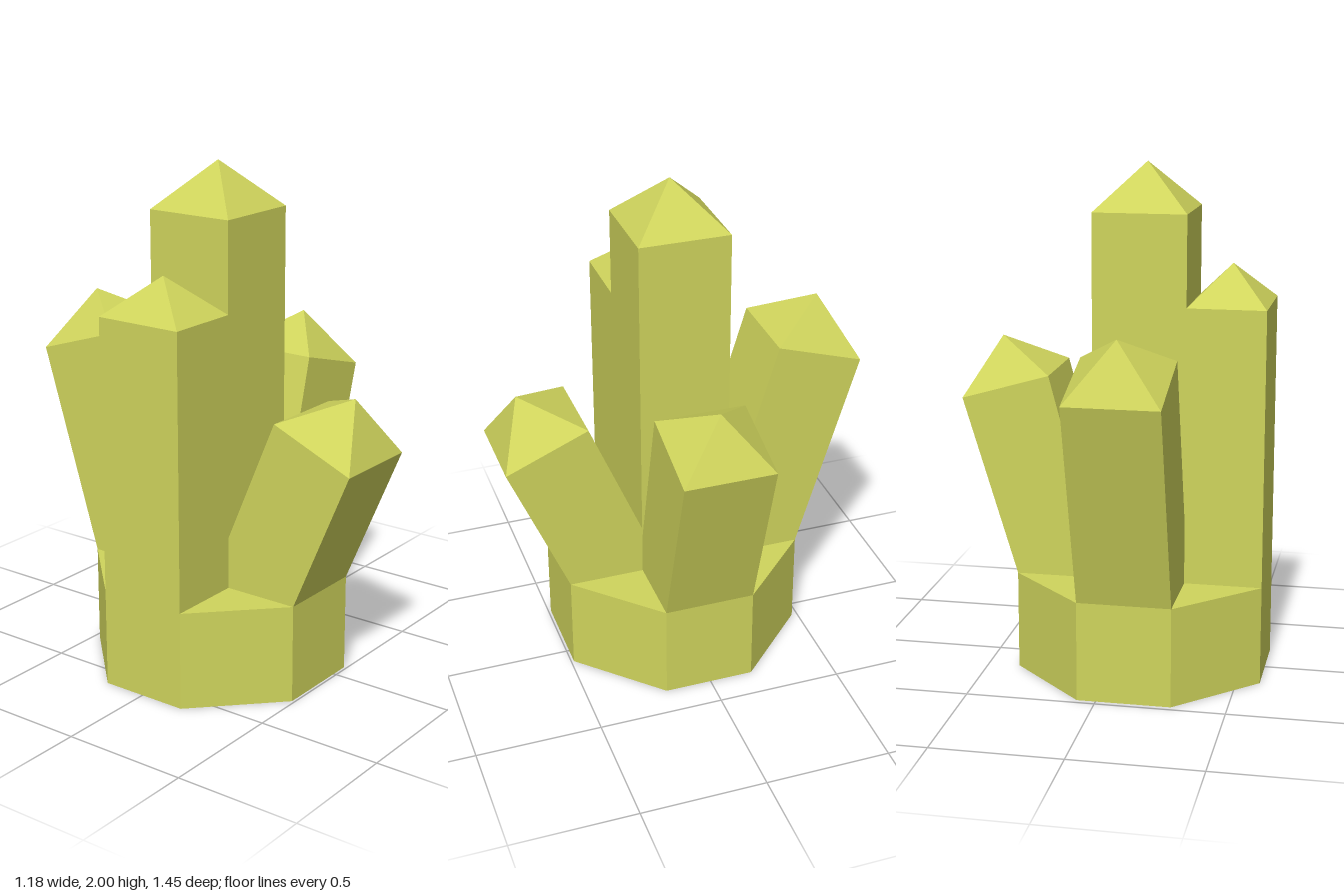
import * as THREE from 'three';

const HALF = 0.181;   // half width of every crystal shaft
const OUTER = 0.483;  // centre to flat side of the base
const BASE_H = 0.39;
const HOLE_R = 0.33;
const HOLE_D = 0.26;

const material = new THREE.MeshStandardMaterial({ color: 0xcfd45c, flatShading: true });

// Flat-shaded geometry from a list of corner triples
function facets(corners) {
  const geo = new THREE.BufferGeometry().setFromPoints(corners);
  geo.computeVertexNormals();
  return geo;
}

const quad = (a, b, c, d) => [a, b, c, a, c, d];

// Upright wall along a closed outline, facing outward for a counter-clockwise one
function wall(outline, y0, y1) {
  const at = (p, y) => new THREE.Vector3(p.x, y, -p.y);
  return facets(outline.flatMap((p, i) => {
    const q = outline[(i + 1) % outline.length];
    return quad(at(p, y0), at(q, y0), at(q, y1), at(p, y1));
  }));
}

// Square shaft with a pyramid tip, leaning along its local +x.
// Each argument is [distance from centre, height].
function crystalGeometry(inLow, outLow, inTop, outTop, tip) {
  const ring = (inner, outer) => [[outer, HALF], [outer, -HALF], [inner, -HALF], [inner, HALF]]
    .map(([[x, y], z]) => new THREE.Vector3(x, y, z));
  const low = ring(inLow, outLow);
  const top = ring(inTop, outTop);
  const apex = new THREE.Vector3(tip[0], tip[1], 0);
  return facets(low.flatMap((p, i) => {
    const j = (i + 1) % 4;
    return [...quad(p, low[j], top[j], top[i]), top[i], top[j], apex];
  }));
}

function part(name, geometry) {
  const mesh = new THREE.Mesh(geometry, material);
  mesh.name = name;
  return mesh;
}

// Eight-sided base with a round socket underneath
function createBase() {
  const base = new THREE.Group();
  base.name = 'base';
  const octagon = [
    [OUTER, -HALF], [OUTER, HALF], [HALF, OUTER], [-HALF, OUTER],
    [-OUTER, HALF], [-OUTER, -HALF], [-HALF, -OUTER], [HALF, -OUTER],
  ].map(([x, y]) => new THREE.Vector2(x, y));
  const circle = Array.from({ length: 16 }, (_, i) => {
    const a = (i / 16) * Math.PI * 2;
    return new THREE.Vector2(HOLE_R * Math.cos(a), HOLE_R * Math.sin(a));
  });

  const underside = new THREE.Shape(octagon);
  underside.holes.push(new THREE.Path(circle));

  base.add(
    part('baseSides', wall(octagon, 0, BASE_H)),
    part('baseTop', new THREE.ShapeGeometry(new THREE.Shape(octagon))
      .rotateX(-Math.PI / 2).translate(0, BASE_H, 0)),
    part('baseUnderside', new THREE.ShapeGeometry(underside).rotateX(Math.PI / 2)),
    part('socketWall', wall([...circle].reverse(), 0, HOLE_D)),
    part('socketCeiling', new THREE.ShapeGeometry(new THREE.Shape(circle))
      .rotateX(Math.PI / 2).translate(0, HOLE_D, 0)),
  );
  return base;
}

export function createModel() {
  const model = new THREE.Group();
  model.name = 'crystalCluster';
  const cluster = new THREE.Group();
  cluster.name = 'cluster';
  cluster.position.set(-0.108, 0, 0.006);
  model.add(cluster);
  cluster.add(createBase());

  // name, turn about y, inner and outer foot, inner and outer shoulder, tip
  const crystals = [
    ['centreCrystal', 0, [-HALF, BASE_H], [HALF, BASE_H], [-HALF, 1.82], [HALF, 1.82], [0, 2]],
    ['rightCrystal', Math.PI, [HALF, BASE_H], [OUTER, BASE_H], [HALF, 1.47], [OUTER, 1.47], [0.332, 1.62]],
    ['leftCrystal', 0, [0.14, BASE_H], [OUTER, BASE_H], [0.353, 1.19], [0.696, 1.09], [0.576, 1.31]],
    ['frontCrystal', -Math.PI / 2, [0.095, BASE_H], [OUTER, BASE_H], [0.389, 1.09], [0.719, 0.95], [0.624, 1.185]],
    ['backCrystal', Math.PI / 2, [0.106, BASE_H], [OUTER, BASE_H], [0.386, 1.31], [0.731, 1.2], [0.611, 1.425]],
  ];
  for (const [name, turn, ...points] of crystals) {
    const crystal = part(name, crystalGeometry(...points));
    crystal.rotation.y = turn;
    cluster.add(crystal);
  }
  return model;
}
